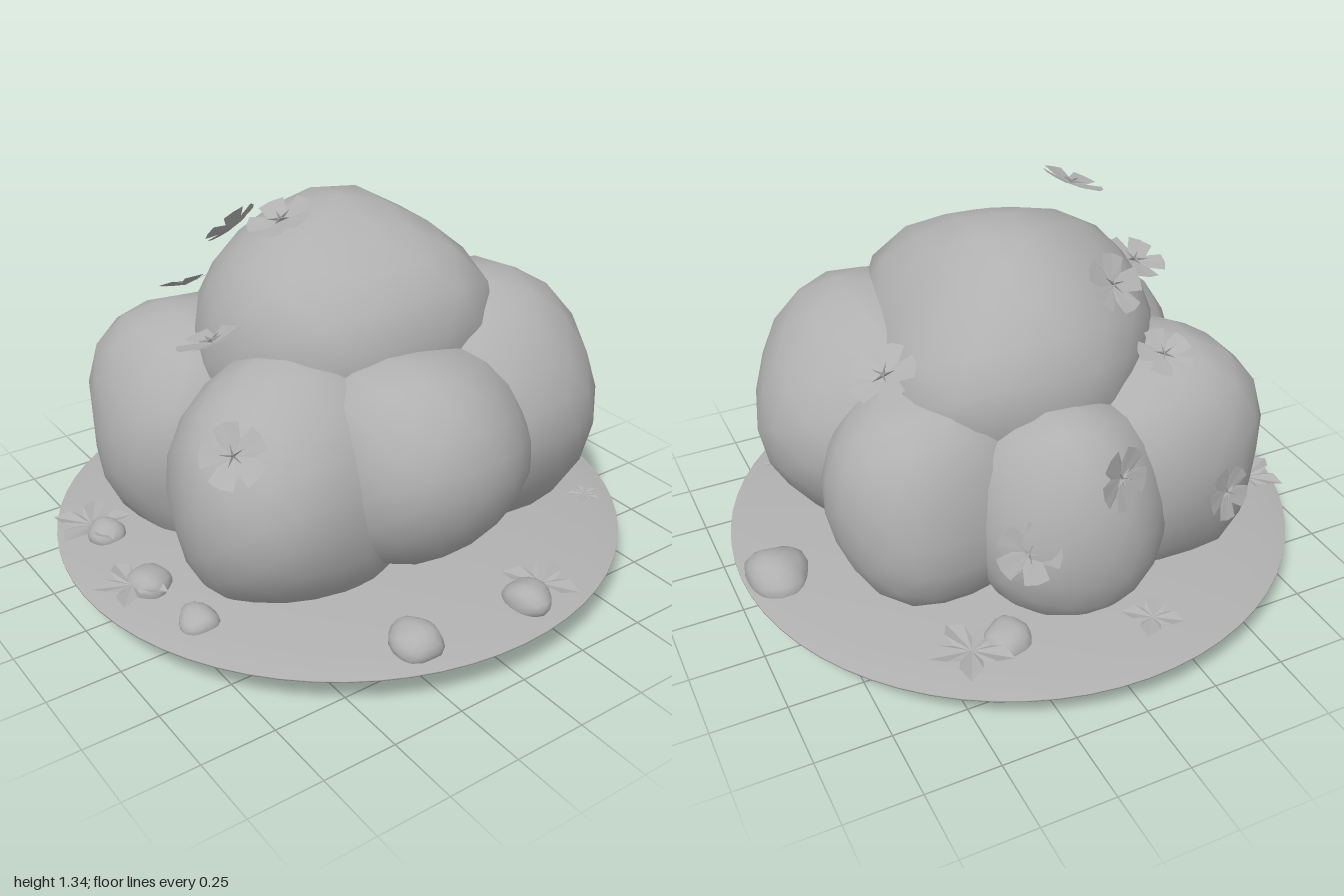
import * as THREE from 'three';
import { mergeVertices } from 'three/addons/utils/BufferGeometryUtils.js';

const grey = new THREE.MeshStandardMaterial({ color: 0xb0b0b0, side: THREE.DoubleSide });
grey.name = 'plain grey';

const V = (a) => new THREE.Vector3(...a);

// Lumpy, slightly boxy ellipsoid; each pull [x, y, z, amount] swells or flattens it in one direction
function lump(name, center, radii, seed, { pulls = [], box = 2.3, rough = 0.035, detail = 3 } = {}) {
  let geo = new THREE.IcosahedronGeometry(1, detail);
  geo.deleteAttribute('normal');
  geo.deleteAttribute('uv');
  geo = mergeVertices(geo, 1e-4);
  const p = geo.attributes.position;
  const v = new THREE.Vector3();
  const swells = pulls.map(([x, y, z, a]) => ({ dir: V([x, y, z]).normalize(), a }));
  for (let i = 0; i < p.count; i++) {
    v.fromBufferAttribute(p, i).normalize();
    const norm = [v.x, v.y, v.z].reduce((s, c) => s + Math.abs(c) ** box, 0) ** (1 / box);
    const noise = Math.sin(v.x * 3.7 + seed * 1.9) * Math.sin(v.y * 4.1 + seed * 2.7)
      + Math.sin(v.z * 4.3 + seed * 3.1 + v.x * 2);
    let r = (1 + rough * noise) / norm;
    for (const s of swells) r *= 1 + s.a * Math.max(0, v.dot(s.dir)) ** 6;
    p.setXYZ(i, v.x * r * radii[0], v.y * r * radii[1], v.z * r * radii[2]);
  }
  geo.computeVertexNormals();
  const mesh = new THREE.Mesh(geo, grey);
  mesh.name = name;
  mesh.position.set(...center);
  return mesh;
}

// Thin star-shaped rosette in the xz plane; petal is a list of [radius, angle fraction, height]
function rosette(count, petal, size) {
  const pos = [];
  const point = ([r, f, h], k) => {
    const a = ((k + f) / count) * Math.PI * 2;
    return [Math.cos(a) * r * size, h * size, Math.sin(a) * r * size];
  };
  for (let k = 0; k < count; k++) {
    for (let j = 0; j < petal.length - 1; j++) {
      pos.push(0, 0, 0, ...point(petal[j + 1], k), ...point(petal[j], k));
    }
  }
  const geo = new THREE.BufferGeometry();
  geo.setAttribute('position', new THREE.Float32BufferAttribute(pos, 3));
  geo.computeVertexNormals();
  return new THREE.Mesh(geo, grey);
}

const blossomPetal = [[0.5, -0.5, 0.08], [0.93, -0.32, 0.18], [0.93, 0, 0.18], [0.93, 0.32, 0.18], [0.5, 0.5, 0.08]];
const stamenPetal = [[0.05, -0.5, 0.12], [0.36, 0, 0.16], [0.05, 0.5, 0.12]];
const leafPetal = [[0.42, -0.5, 0.02], [0.72, -0.3, 0.12], [1, 0, 0.05], [0.72, 0.3, 0.12], [0.42, 0.5, 0.02]];

function blossom(center, facing, size, spin) {
  const g = new THREE.Group();
  g.name = 'blossom';
  const petals = rosette(5, blossomPetal, size);
  petals.name = 'blossomPetals';
  const stamen = rosette(5, stamenPetal, size);
  stamen.name = 'blossomStamen';
  stamen.position.y = size * 0.02;
  petals.rotation.y = spin;
  stamen.rotation.y = spin;
  g.add(petals, stamen);
  g.position.set(...center);
  g.quaternion.setFromUnitVectors(V([0, 1, 0]), V(facing).normalize());
  return g;
}

export function createModel() {
  const model = new THREE.Group();
  model.name = 'floweringBush';

  // Gently domed ground disc with a flat underside
  const profile = [[0, 0.145], [0.993, 0.145], [0.993, 0.15], [0.9, 0.168], [0.7, 0.195], [0.4, 0.22], [0, 0.23]];
  const points = profile.map(([x, y]) => new THREE.Vector2(x, y));
  const disc = new THREE.Mesh(new THREE.LatheGeometry(points, 64).toNonIndexed(), grey);
  disc.name = 'groundDisc';
  model.add(disc);

  // Foliage lumps
  model.add(
    lump('crown', [-0.02, 0.84, -0.01], [0.49, 0.43, 0.48], 1, {
      pulls: [[-0.2, 1, -0.2, 0.07], [1, 0.6, -0.6, 0.08], [-0.6, -0.1, -0.8, 0.17],
        [0, 0.7, 0.7, 0.07], [0, 0.8, -0.7, -0.06], [-0.8, 0.6, 0, -0.06]],
      box: 2.05,
    }),
    lump('frontRightLump', [-0.32, 0.49, 0.36], [0.37, 0.43, 0.4], 2, {
      pulls: [[0.7, -1, 0, 0.22], [1, 0.2, 0.7, 0.15], [-1, 0, 1, -0.07], [-1, -0.8, 0, -0.05]],
      box: 2.2,
    }),
    lump('frontLeftLump', [0.27, 0.48, 0.37], [0.35, 0.45, 0.39], 3, {
      pulls: [[-1, 0, 0.6, 0.14], [0.7, -0.8, 0.7, -0.09], [1, 0.2, 0.2, 0.04]],
      box: 2.15,
    }),
    lump('leftLump', [0.43, 0.58, 0.02], [0.35, 0.34, 0.37], 4, {
      pulls: [[1, 0.8, 0, 0.05], [0.4, -0.4, -1, 0.1]],
    }),
    lump('backLump', [0.2, 0.58, -0.38], [0.48, 0.46, 0.42], 5, { pulls: [[0, 0, -1, 0.12]], box: 2.02 }),
    lump('backRightLump', [-0.23, 0.5, -0.4], [0.34, 0.41, 0.33], 6, { box: 2.15 }),
    lump('rightLump', [-0.44, 0.47, -0.02], [0.33, 0.39, 0.35], 7, { box: 2.2 }),
  );

  // Blossoms on the foliage: center, facing, size, spin
  const blossoms = [
    [[0.1, 1.3, 0.28], [0, 1, 0.4], 0.115, 0.3],
    [[-0.33, 1.14, 0.2], [-0.8, 0.8, 0.3], 0.11, 1.1],
    [[0.1, 0.96, 0.54], [-0.3, 1, 0.2], 0.12, 0.6],
    [[0.45, 0.77, 0.68], [0.6, 0.6, 0.6], 0.11, 0.2],
    [[-0.73, 0.72, 0.02], [-0.9, 0.2, 0.35], 0.11, 0.9],
    [[-0.67, 0.49, -0.25], [-0.8, 0.3, -0.45], 0.11, 0.4],
    [[-0.45, 0.92, 0.33], [-0.5, 1, 0], 0.1, 0],
    [[-0.68, 0.5, 0.45], [-1, 0.2, 0.3], 0.1, 0.7],
    [[-0.24, 0.95, -0.53], [-0.25, 1, -0.5], 0.12, 0.5],
  ];
  for (const b of blossoms) model.add(blossom(...b));

  // Pebbles sunk into the ground: x, y, z, radius
  const pebbles = [
    [-0.05, 0.165, -0.88, 0.12], [0.86, 0.185, -0.13, 0.08], [0.82, 0.18, 0.29, 0.09], [-0.68, 0.185, -0.33, 0.08],
    [-0.25, 0.18, 0.79, 0.07], [0.1, 0.18, 0.81, 0.08], [0.35, 0.17, 0.77, 0.07],
  ];
  pebbles.forEach(([x, y, z, r], i) => {
    model.add(lump('pebble', [x, y, z], [r, r * 0.7, r * 0.92], i + 11, { detail: 2, rough: 0.06, box: 2.05 }));
  });

  // Fallen leaf rosettes: x, z, size, spin, petal count
  const leaves = [
    [-0.7, -0.46, 0.14, 0.2, 5], [0.84, -0.2, 0.13, 0.5, 4], [-0.81, 0.12, 0.1, 0.9, 4],
    [-0.3, 0.82, 0.14, 0.1, 5], [0.1, 0.87, 0.13, 0.6, 5], [0.53, -0.7, 0.06, 0.3, 5],
  ];
  for (const [x, z, size, spin, count] of leaves) {
    const leaf = rosette(count, leafPetal, size);
    leaf.name = 'fallenLeaves';
    leaf.position.set(x, 0.2, z);
    leaf.rotation.y = spin;
    model.add(leaf);
  }
  return model;
}
